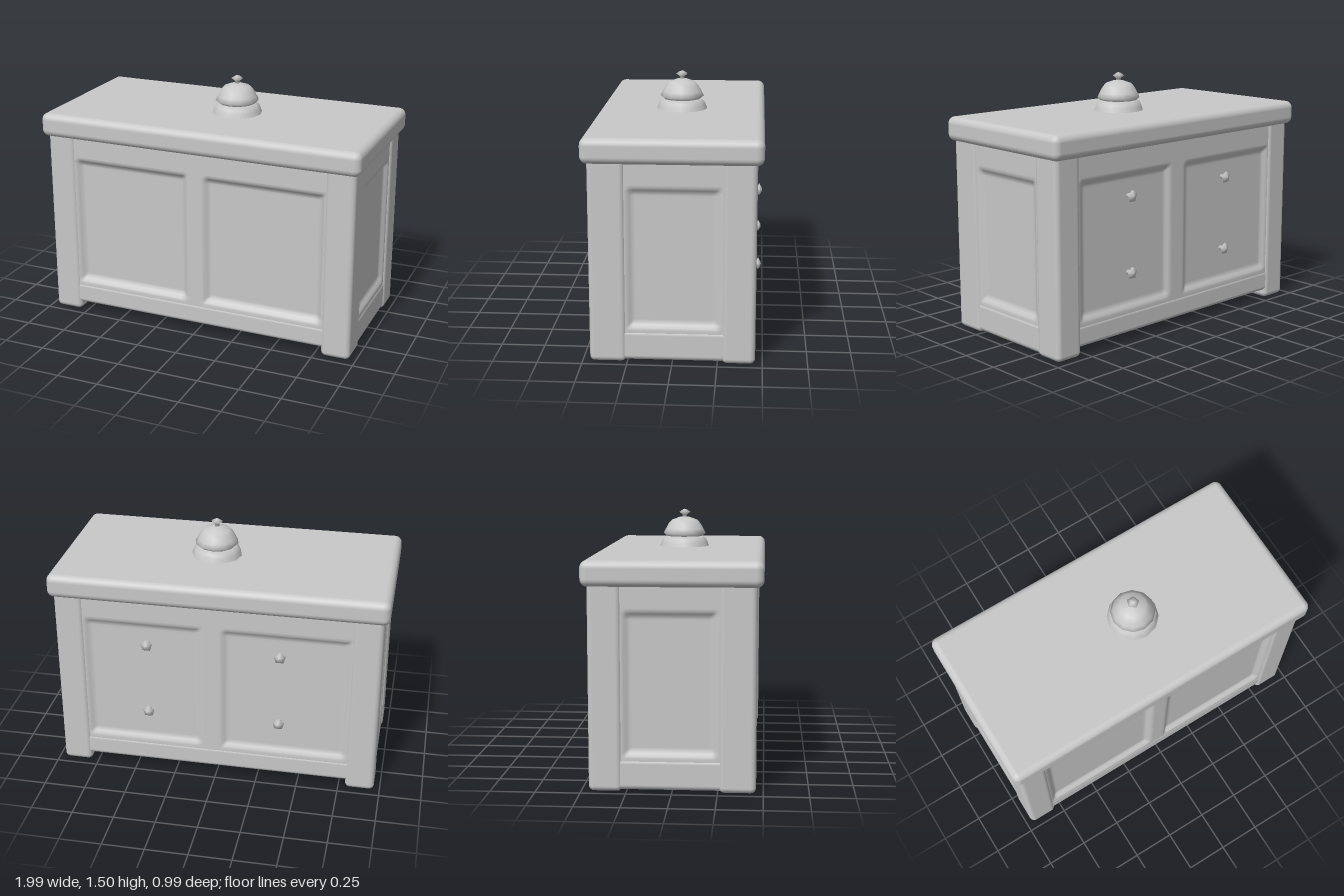
import * as THREE from 'three';
import { RoundedBoxGeometry } from 'three/addons/geometries/RoundedBoxGeometry.js';

export function createModel() {
  const model = new THREE.Group();
  model.name = 'counterWithBell';
  const grey = new THREE.MeshStandardMaterial({ color: 0xc8c8c8 });
  grey.name = 'plain grey';

  const add = (name, geometry, x = 0, y = 0, z = 0) => {
    const mesh = new THREE.Mesh(geometry, grey);
    mesh.name = name;
    mesh.position.set(x, y, z);
    model.add(mesh);
    return mesh;
  };
  // Soft-edged block given by its extents
  const block = (name, x0, x1, y0, y1, z0, z1, r = 0.02) =>
    add(name, new RoundedBoxGeometry(x1 - x0, y1 - y0, z1 - z0, 4, r),
      (x0 + x1) / 2, (y0 + y1) / 2, (z0 + z1) / 2);
  // The same block, given for the +x side, on both sides
  const pair = (name, x0, x1, ...rest) => {
    block(name, x0, x1, ...rest);
    block(name, -x1, -x0, ...rest);
  };

  // Panelled wall: a face at the given distance, softly sunk inside each [x0, x1] field
  const wall = (name, width, distance, angle, fields, depth, bevel = 0.035) => {
    const y0 = 0.08, y1 = 1.15, low = 0.195, high = 1.0, step = 0.015;
    const geo = new THREE.PlaneGeometry(width, y1 - y0,
      Math.round(width / step), Math.round((y1 - y0) / step));
    geo.translate(0, (y0 + y1) / 2, distance);
    const pos = geo.attributes.position;
    for (let i = 0; i < pos.count; i++) {
      const x = pos.getX(i), y = pos.getY(i);
      for (const [a, b] of fields) {
        const inside = Math.min(x - a, b - x, y - low, high - y);
        pos.setZ(i, pos.getZ(i) - depth * THREE.MathUtils.smoothstep(inside, 0, bevel));
      }
    }
    geo.rotateY(angle);
    geo.computeVertexNormals();
    add(name, geo);
  };
  wall('frontWall', 1.76, 0.45, 0, [[-0.79, -0.055], [0.045, 0.79]], 0.03);
  wall('backWall', 1.76, 0.45, Math.PI, [[-0.79, -0.085], [0.03, 0.79]], 0.02);
  wall('leftWall', 0.76, 0.953, Math.PI / 2, [[-0.25, 0.27]], 0.022);
  wall('rightWall', 0.76, 0.953, -Math.PI / 2, [[-0.27, 0.25]], 0.022);

  // Floor of the body
  add('floor', new THREE.BoxGeometry(1.8, 0.04, 0.8), 0, 0.085, 0);
  for (const z of [-0.2, 0.2])
    block('floorSlat', -0.85, 0.85, 0.052, 0.1, z - 0.05, z + 0.05, 0.015);

  // Worktop: thick slab with worn, rounded edges
  block('worktop', -0.995, 0.995, 1.13, 1.273, -0.495, 0.495, 0.042);

  // Corner posts running down to the feet
  pair('frontPost', 0.79, 0.965, 0, 1.16, 0.255, 0.46, 0.03);
  pair('backPost', 0.79, 0.965, 0, 1.16, -0.46, -0.275, 0.03);

  // Bottom rails
  pair('sideBottomRail', 0.79, 0.957, 0.008, 0.185, -0.42, 0.42, 0.03);
  block('frontBottomRail', -0.88, 0.88, 0.05, 0.18, 0.33, 0.453, 0.025);
  block('backBottomRail', -0.88, 0.88, 0.05, 0.18, -0.453, -0.33, 0.025);

  // Turned shapes
  const lathe = (points, sides) =>
    new THREE.LatheGeometry(points.map(([r, y]) => new THREE.Vector2(r, y)), sides);

  // Knobs on the back
  const knob = lathe([[0.014, 0], [0.014, 0.026], [0.038, 0.038], [0.012, 0.053], [0, 0.056]], 5);
  knob.rotateX(-Math.PI / 2);
  for (const x of [0.41, -0.38])
    for (const y of [0.41, 0.86]) add('knob', knob, x, y, -0.43);

  // Counter bell: spreading base, dome and push button
  const bellX = 0.078;
  add('bellBase', lathe([[0.152, 0], [0.143, 0.025], [0.134, 0.045], [0.114, 0.064], [0, 0.068]], 12),
    bellX, 1.27, 0);
  add('bellDome', lathe([[0.11, 0], [0.13, 0.018], [0.116, 0.045], [0.1, 0.075],
    [0.078, 0.1], [0.03, 0.117], [0, 0.12]], 12), bellX, 1.333, 0);
  add('bellButton', lathe([[0.016, 0], [0.014, 0.02], [0.037, 0.038], [0.012, 0.053], [0, 0.056]], 5),
    bellX, 1.443, 0);

  return model;
}
